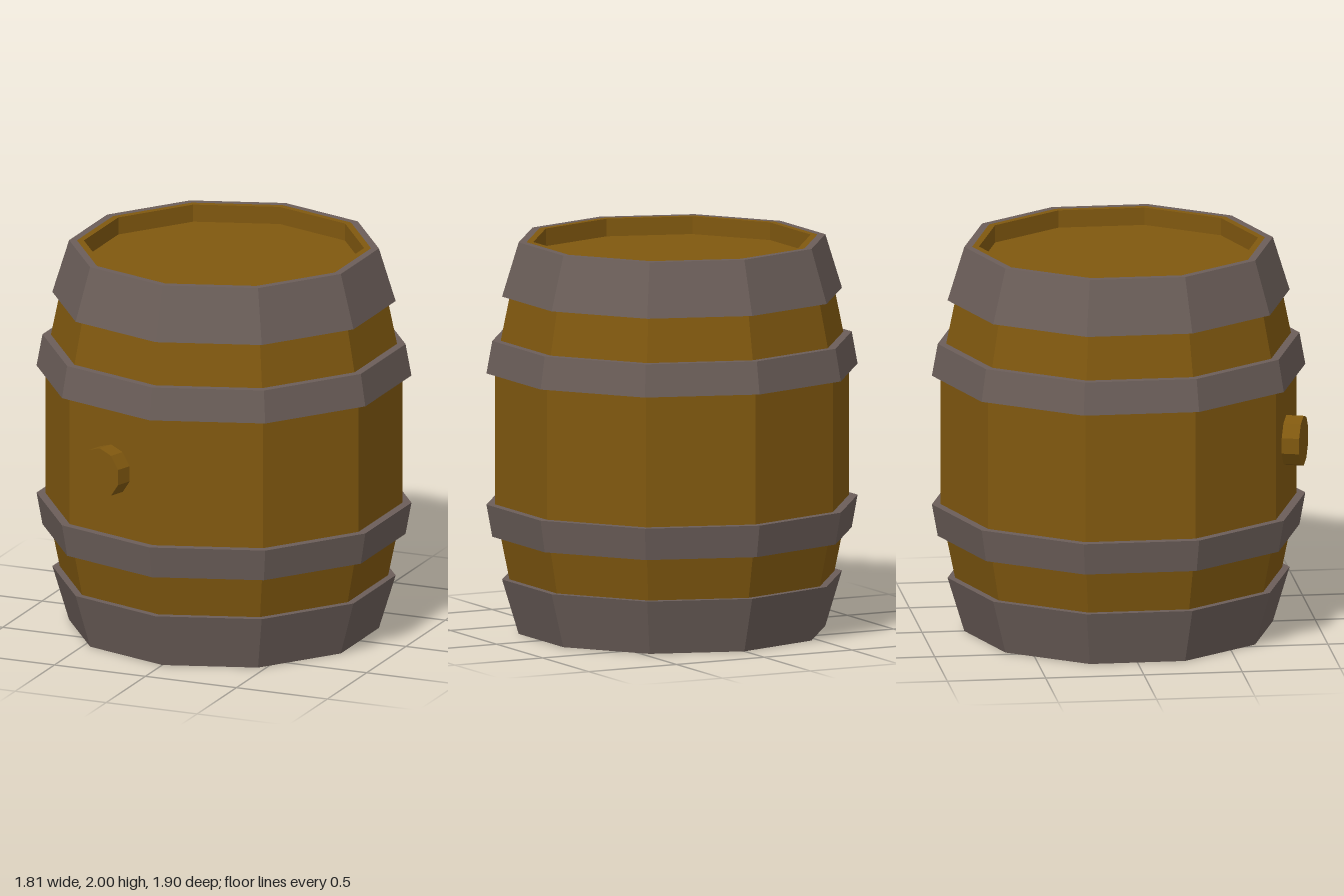
import * as THREE from 'three';

const SIDES = 10;
const wood = new THREE.MeshStandardMaterial({ color: 0x80580f, flatShading: true });
const iron = new THREE.MeshStandardMaterial({ color: 0x6b5e59, flatShading: true });

// Ten-sided solid of revolution from [radius, y] pairs, outer side running upwards
function turned(name, profile, material) {
  const points = profile.map(([r, y]) => new THREE.Vector2(r, y));
  const mesh = new THREE.Mesh(new THREE.LatheGeometry(points, SIDES), material);
  mesh.name = name;
  return mesh;
}

// Hoop with sloping sides, closed around its inner side
function hoop(name, y0, y1, outer0, outer1, inner0, inner1) {
  return turned(name, [[inner0, y0], [outer0, y0], [outer1, y1], [inner1, y1], [inner0, y0]], iron);
}

export function createModel() {
  const barrel = new THREE.Group();
  barrel.name = 'barrel';

  // Staves with a recessed lid at each end
  const lower = [[0, 0.09], [0.71, 0.09], [0.71, 0], [0.745, 0], [0.832, 0.28], [0.877, 0.5], [0.905, 0.64]];
  const upper = lower.map(([r, y]) => [r, 2 - y]).reverse();
  barrel.add(turned('barrelBody', [...lower, ...upper], wood));

  // End hoops and middle hoops, mirrored top to bottom
  barrel.add(
    hoop('bottomEndHoop', 0, 0.28, 0.785, 0.87, 0.745, 0.825),
    hoop('topEndHoop', 1.725, 2, 0.87, 0.785, 0.825, 0.745),
    hoop('lowerHoop', 0.5, 0.665, 0.92, 0.95, 0.87, 0.9),
    hoop('upperHoop', 1.335, 1.5, 0.95, 0.92, 0.9, 0.87)
  );

  // Bung standing out of the stave just right of the front edge
  const plug = new THREE.CylinderGeometry(0.13, 0.13, 0.13, SIDES);
  plug.rotateX(Math.PI / 2);
  plug.translate(0, 1.01, 0.885);
  plug.rotateY(-Math.PI / SIDES);
  const bung = new THREE.Mesh(plug, wood);
  bung.name = 'bung';
  barrel.add(bung);

  return barrel;
}
